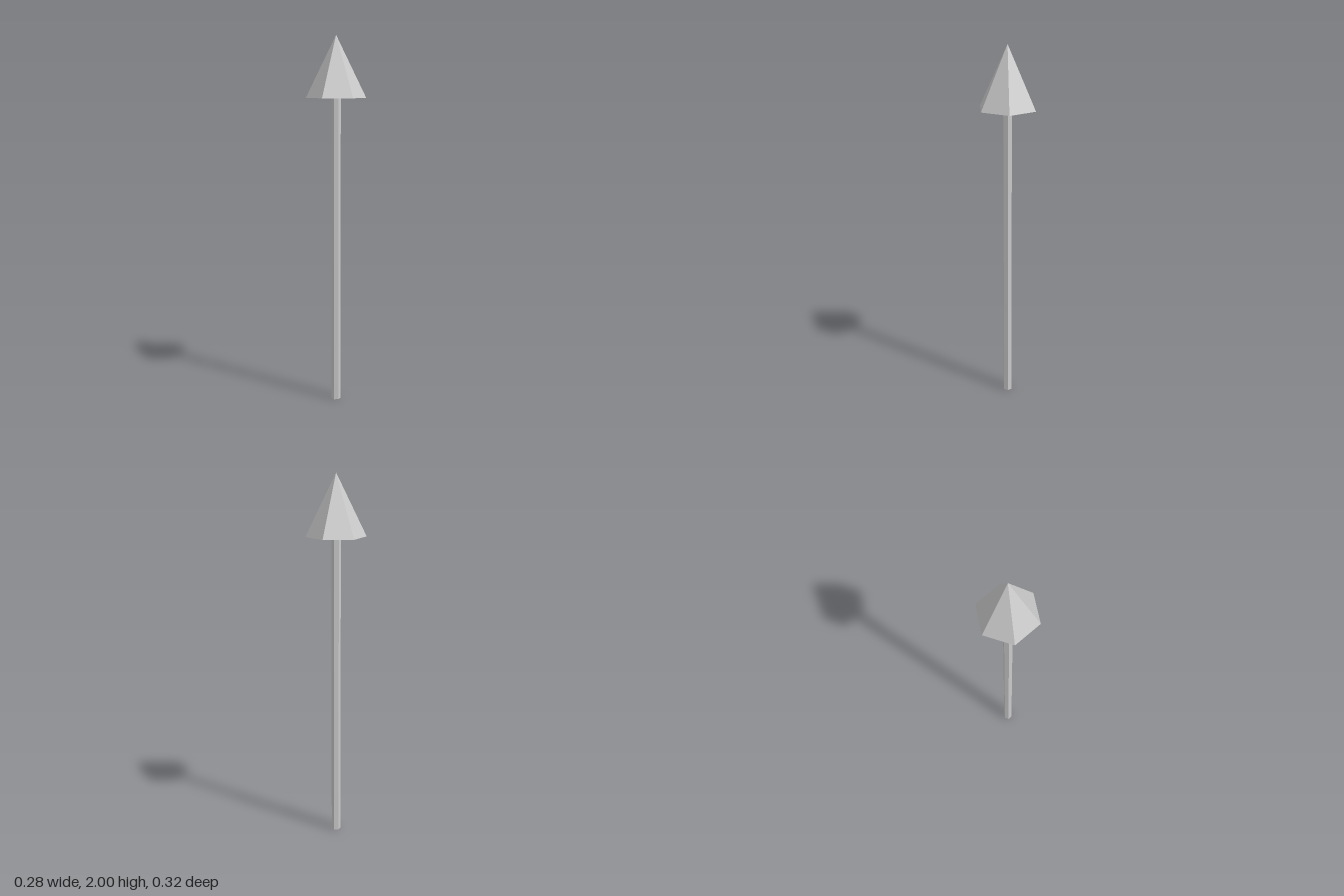
import * as THREE from 'three';

const SIDES = 6;
const HEIGHT = 2;
const HEAD_BASE = 1.675;

export function createModel() {
  const group = new THREE.Group();
  group.name = 'arrow';
  const material = new THREE.MeshStandardMaterial({ color: 0xcccccc, flatShading: true });

  const add = (name, geometry, y) => {
    const mesh = new THREE.Mesh(geometry, material);
    mesh.name = name;
    mesh.position.y = y;
    group.add(mesh);
  };

  // Slim hexagonal shaft standing on the ground
  add('shaft', new THREE.CylinderGeometry(0.025, 0.025, HEAD_BASE, SIDES), HEAD_BASE / 2);

  // Six-sided pointed head with a closed base
  add('head', new THREE.ConeGeometry(0.16, HEIGHT - HEAD_BASE, SIDES), (HEIGHT + HEAD_BASE) / 2);

  return group;
}
